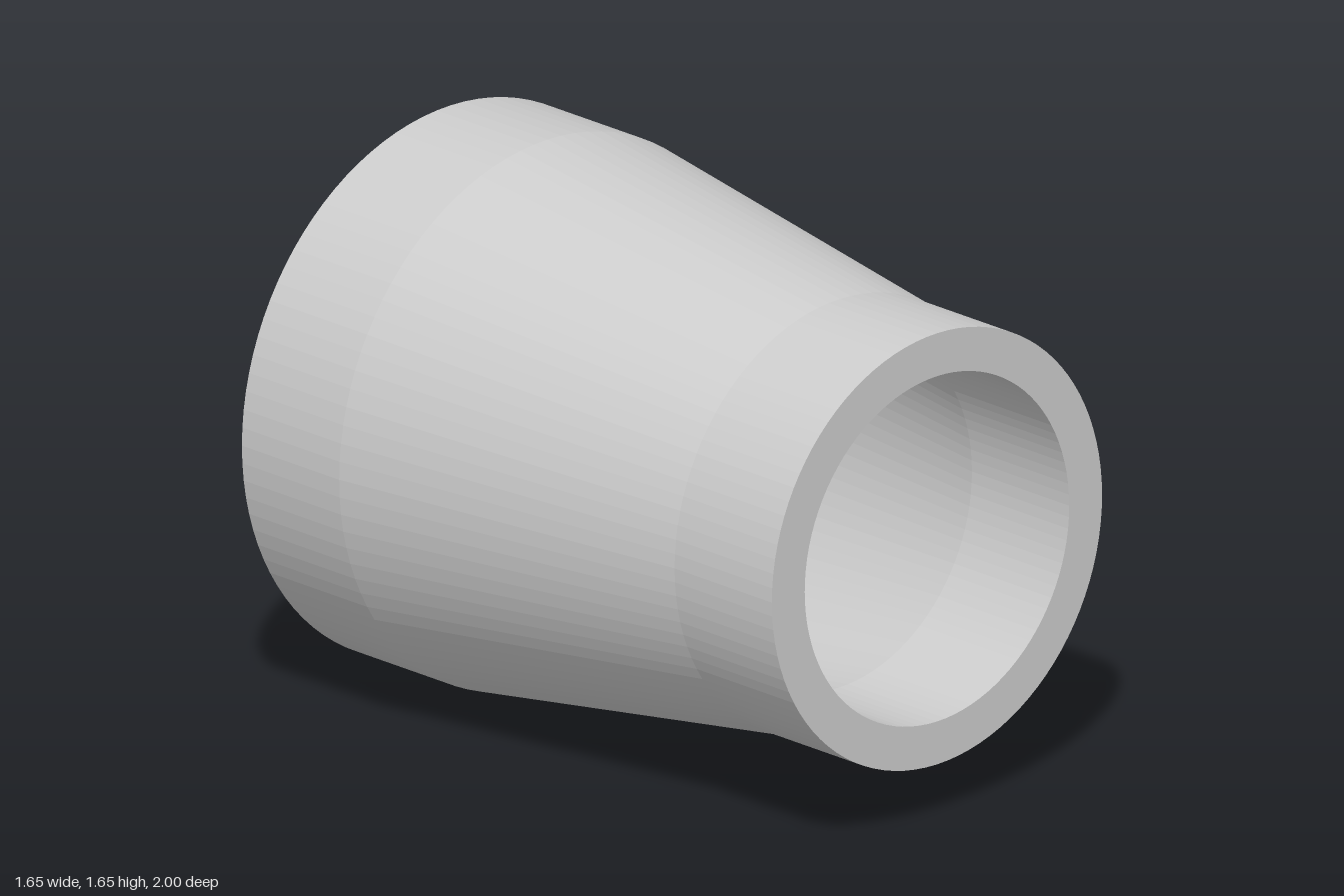
import * as THREE from 'three';

// Concentric pipe reducer: straight wide end, taper, straight narrow end
export function createModel() {
  const group = new THREE.Group();
  group.name = 'pipeReducer';

  const wide = { outer: 0.825, inner: 0.692 };
  const narrow = { outer: 0.653, inner: 0.523 };
  const end = 1, bend = 0.6, sides = 96;

  // Closed wall section: up the outside, back down the bore
  const section = [
    [wide.outer, -end], [wide.outer, -bend], [narrow.outer, bend], [narrow.outer, end],
    [narrow.inner, end], [narrow.inner, bend], [wide.inner, -bend], [wide.inner, -end],
    [wide.outer, -end],
  ].map(([r, y]) => new THREE.Vector2(r, y));

  // Turn the lathe axis to z, narrow end to the front
  const geometry = new THREE.LatheGeometry(section, sides);
  geometry.rotateX(Math.PI / 2);

  const material = new THREE.MeshStandardMaterial({ color: 0xcccccc, flatShading: true });
  const wall = new THREE.Mesh(geometry, material);
  wall.name = 'reducerWall';
  wall.position.y = wide.outer;
  group.add(wall);
  return group;
}
